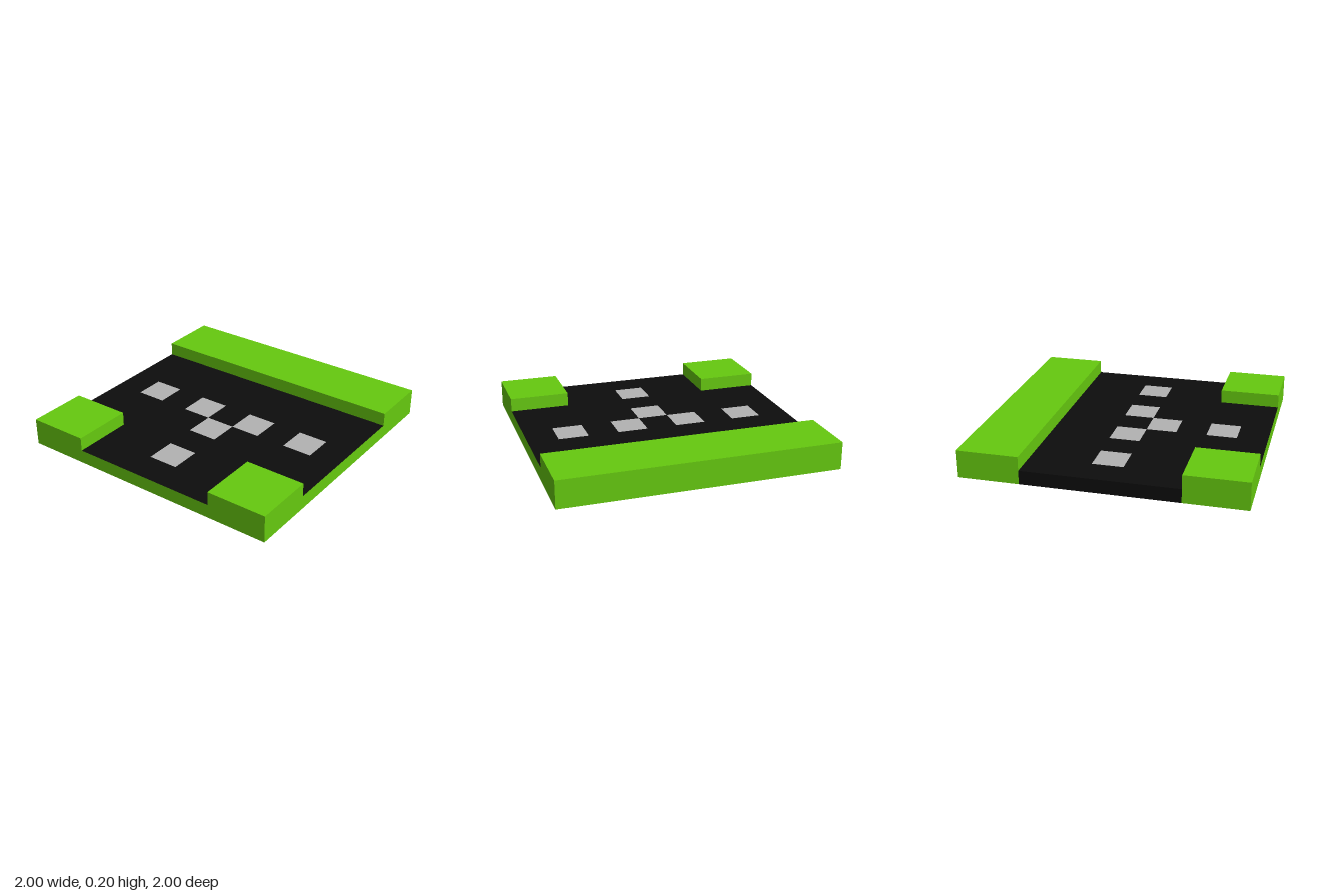
import * as THREE from 'three';

const CELL = 2 / 9;          // the tile is a 9 x 9 grid
const INNER = CELL * 2.5;    // edge of the sunken area
const FLOOR = 0.1, TOP = 0.2;

export function createModel() {
  const model = new THREE.Group();
  const paint = (color) => new THREE.MeshStandardMaterial({ color });
  const green = paint(0x66c90f), black = paint(0x0d0d0d), grey = paint(0xb2b2b2);

  // Box standing on the ground between two corners of the plan
  function block(name, x0, x1, z0, z1, height, material) {
    const mesh = new THREE.Mesh(new THREE.BoxGeometry(x1 - x0, height, z1 - z0), material);
    mesh.position.set((x0 + x1) / 2, height / 2, (z0 + z1) / 2);
    mesh.name = name;
    model.add(mesh);
  }

  // Raised border: full bar at the back, a square block at each front corner
  block('backBar', -1, 1, -1, -INNER, TOP, green);
  block('frontRightCorner', -1, -INNER, INNER, 1, TOP, green);
  block('frontLeftCorner', INNER, 1, INNER, 1, TOP, green);

  // Sunken floor, black on top and on its open -x side (faces: +x -x +y -y +z -z)
  block('middleFloor', -1, 1, -INNER, INNER, FLOOR, [green, black, black, green, green, green]);
  block('frontFloor', -INNER, INNER, INNER, 1, FLOOR, [green, green, black, green, green, green]);

  // Grey square markings on the floor, as [column, row] from the centre
  const markings = [[-3, 0], [-1, 0], [1, 0], [3, 0], [0, 1], [0, 3]];
  for (const [column, row] of markings) {
    const mark = new THREE.Mesh(new THREE.PlaneGeometry(CELL, CELL), grey);
    mark.rotation.x = -Math.PI / 2;
    mark.position.set(column * CELL, FLOOR + 0.001, row * CELL);
    mark.name = 'floorMarking';
    model.add(mark);
  }
  return model;
}
